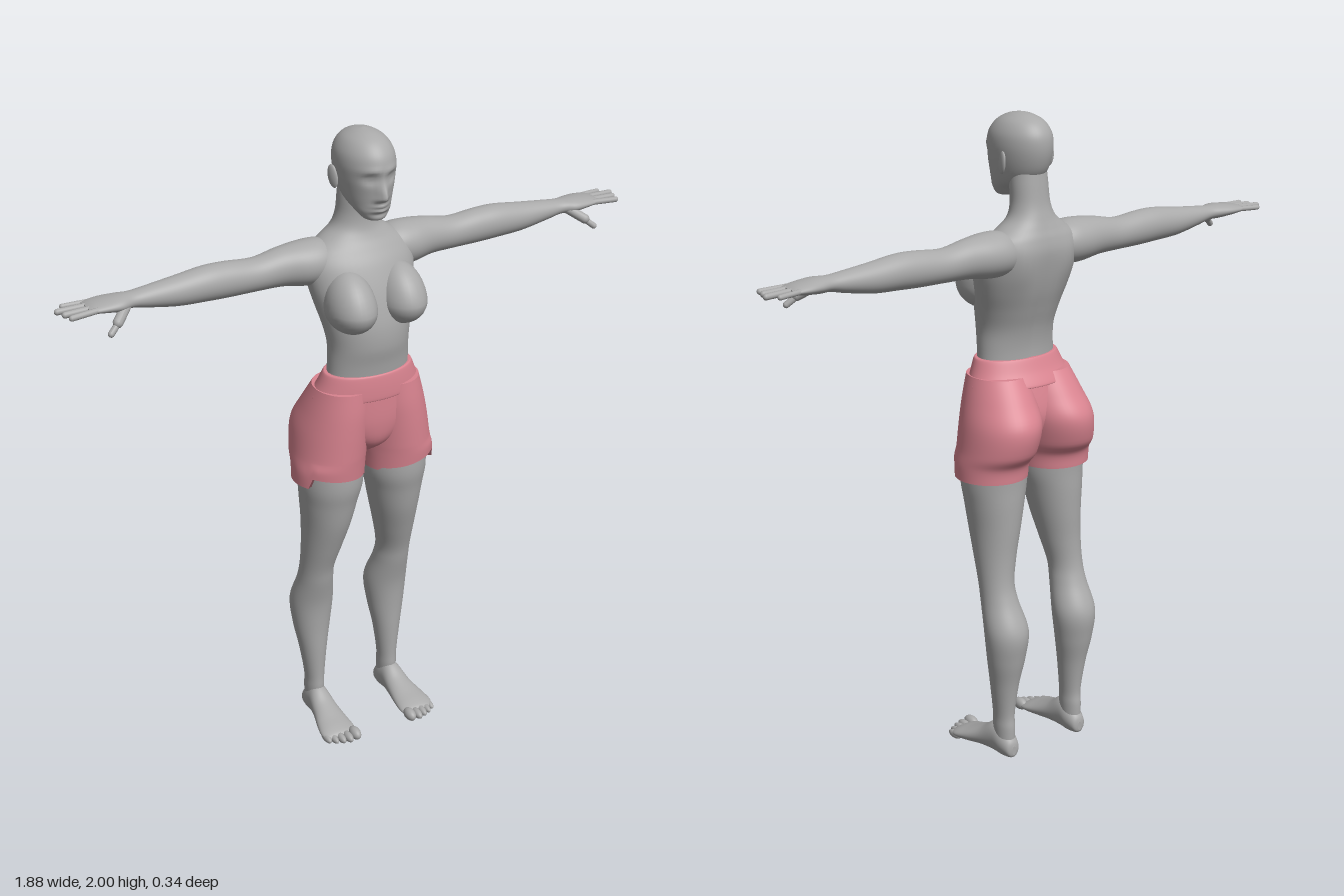
import * as THREE from 'three';

const skin = new THREE.MeshStandardMaterial({ color: 0xa9a9a9 });
skin.name = 'grey skin';
const cloth = new THREE.MeshStandardMaterial({ color: 0xd98490 });
cloth.name = 'pink cloth';

const SEG = 48, STEPS = 6;

// Smooth curve through the cross-section rows
function spline(rows, i, t) {
  const at = (k) => rows[Math.min(rows.length - 1, Math.max(0, k))];
  const [a, b, c, d] = [at(i - 1), at(i), at(i + 1), at(i + 2)];
  return b.map((v, k) => v + 0.5 * t * (c[k] - a[k] +
    t * (2 * a[k] - 5 * v + 4 * c[k] - d[k] + t * (3 * (v - c[k]) + d[k] - a[k]))));
}

// Loft of oval rings; row = [along, centreU, radiusU, vMax, vMin], along ascending.
// axes names the world axes of along, u and v.
function loft(rows, axes = 'yxz') {
  const rings = [];
  for (let i = 0; i < rows.length - 1; i++)
    for (let s = 0; s < STEPS; s++) rings.push(spline(rows, i, s / STEPS));
  rings.push(rows[rows.length - 1]);
  const pos = [], index = [], slot = [...axes].map((c) => 'xyz'.indexOf(c));
  const put = (a, u, v) => {
    const p = [0, 0, 0];
    [a, u, v].forEach((val, k) => { p[slot[k]] = val; });
    pos.push(...p);
  };
  const ring = ([a, cu, ru, v1, v0]) => {
    for (let i = 0; i < SEG; i++) {
      const th = (i / SEG) * Math.PI * 2;
      put(a, cu + ru * Math.cos(th), (v1 + v0) / 2 + ((v1 - v0) / 2) * Math.sin(th));
    }
  };
  const flip = axes !== 'yxz';
  const tri = (a, b, c) => (flip ? index.push(a, c, b) : index.push(a, b, c));
  rings.forEach(ring);
  for (let j = 0; j < rings.length - 1; j++)
    for (let i = 0; i < SEG; i++) {
      const a = j * SEG + i, c = j * SEG + ((i + 1) % SEG);
      tri(a, a + SEG, c);
      tri(c, a + SEG, c + SEG);
    }
  // end caps with their own vertices
  [rings[0], rings[rings.length - 1]].forEach((r, end) => {
    const base = pos.length / 3;
    ring(r);
    put(r[0], r[1], (r[3] + r[4]) / 2);
    for (let i = 0; i < SEG; i++) {
      const a = base + i, b = base + ((i + 1) % SEG);
      if (end) tri(a, base + SEG, b); else tri(a, b, base + SEG);
    }
  });
  const g = new THREE.BufferGeometry();
  g.setAttribute('position', new THREE.Float32BufferAttribute(pos, 3));
  g.setIndex(index);
  g.computeVertexNormals();
  return g;
}

// Move every vertex by a rule
function warp(g, rule) {
  const p = g.attributes.position, v = new THREE.Vector3();
  for (let i = 0; i < p.count; i++) {
    rule(v.fromBufferAttribute(p, i));
    p.setXYZ(i, v.x, v.y, v.z);
  }
  g.computeVertexNormals();
  return g;
}
const bell = (d, s) => Math.exp(-(d * d) / (s * s));

function mirror(g) {
  const m = g.clone().scale(-1, 1, 1), ix = m.index.array;
  for (let i = 0; i < ix.length; i += 3) [ix[i], ix[i + 1]] = [ix[i + 1], ix[i]];
  m.computeVertexNormals();
  return m;
}

// Rounded rod between two points
function rod(a, b, r) {
  const p = new THREE.Vector3(...a), q = new THREE.Vector3(...b), d = q.clone().sub(p);
  const g = new THREE.CapsuleGeometry(r, d.length(), 6, 14);
  g.applyQuaternion(new THREE.Quaternion().setFromUnitVectors(new THREE.Vector3(0, 1, 0), d.normalize()));
  return g.translate(...p.add(q).multiplyScalar(0.5).toArray());
}
const ball = (c, r) => new THREE.SphereGeometry(1, 32, 20).scale(...r).translate(...c);

export function createModel() {
  const model = new THREE.Group();
  model.name = 'figure';
  const add = (name, g, mat = skin) => {
    const m = new THREE.Mesh(g, mat);
    m.name = name;
    model.add(m);
  };
  const pair = (name, g, mat) => {
    add('left ' + name, g, mat);
    add('right ' + name, mirror(g), mat);
  };

  // Torso and neck, with a groove down the spine
  add('torso', warp(loft([
    [1.23, 0, 0.134, 0.108, -0.055], [1.30, 0, 0.130, 0.118, -0.057], [1.36, 0, 0.129, 0.130, -0.068],
    [1.42, 0, 0.140, 0.130, -0.088], [1.48, 0, 0.156, 0.118, -0.108], [1.54, 0, 0.170, 0.100, -0.122],
    [1.60, 0, 0.176, 0.075, -0.130], [1.64, 0, 0.158, 0.050, -0.125], [1.67, 0, 0.115, 0.030, -0.115],
    [1.70, 0, 0.078, 0.018, -0.105], [1.74, 0, 0.063, 0.015, -0.094], [1.80, 0, 0.060, 0.020, -0.086],
    [1.85, 0, 0.056, 0.020, -0.080]]), (v) => {
    if (v.z < -0.03) v.z += 0.009 * bell(v.x, 0.022) * bell(v.y - 1.42, 0.22);
    if (v.z < -0.03) v.z -= 0.008 * bell(Math.abs(v.x) - 0.09, 0.04) * bell(v.y - 1.56, 0.07);
  }));

  // Breasts, stretched upward into the chest
  pair('breast', warp(ball([0, 0, 0], [0.074, 0.075, 0.096]), (v) => {
    if (v.y > 0) { v.z -= v.y * 0.3; v.y *= 1.45; }
    v.add(new THREE.Vector3(0.084, 1.487, 0.077));
  }));

  // Head with brow, eye sockets, nose, lips and chin
  add('head', warp(loft([
    [1.746, 0, 0.016, 0.088, 0.055], [1.753, 0, 0.034, 0.100, 0.030], [1.775, 0, 0.052, 0.106, 0.000],
    [1.80, 0, 0.065, 0.110, -0.055], [1.83, 0, 0.074, 0.114, -0.085], [1.87, 0, 0.082, 0.119, -0.102],
    [1.91, 0, 0.085, 0.121, -0.108], [1.945, 0, 0.079, 0.111, -0.102], [1.975, 0, 0.060, 0.084, -0.079],
    [1.993, 0, 0.031, 0.046, -0.042], [2.0, 0, 0.003, 0.004, -0.002]]), (v) => {
    if (v.z < 0.03) return;
    const ax = Math.abs(v.x), y = v.y;
    v.z += 0.028 * bell(v.x, 0.013) * bell(y - 1.824, y < 1.824 ? 0.012 : 0.035)
      + 0.007 * bell(ax - 0.014, 0.009) * bell(y - 1.817, 0.010)
      - 0.013 * bell(ax - 0.034, 0.018) * bell(y - 1.880, 0.015)
      + 0.006 * bell(ax - 0.034, 0.011) * bell(y - 1.880, 0.007)
      + 0.005 * bell(ax - 0.032, 0.028) * bell(y - 1.902, 0.011)
      + 0.009 * bell(v.x, 0.022) * (bell(y - 1.796, 0.006) + bell(y - 1.781, 0.006))
      - 0.004 * bell(v.x, 0.03) * bell(y - 1.769, 0.007);
  }));
  pair('ear', new THREE.SphereGeometry(1, 20, 14).scale(0.008, 0.035, 0.019)
    .rotateX(-0.2).rotateY(-0.3).translate(0.087, 1.862, -0.018));

  // Arms and palms
  pair('arm', loft([
    [0.06, 1.600, 0.045, 0.000, -0.095], [0.12, 1.604, 0.066, 0.026, -0.115], [0.18, 1.605, 0.067, 0.026, -0.115],
    [0.25, 1.606, 0.058, 0.008, -0.104], [0.33, 1.600, 0.050, 0.001, -0.096], [0.42, 1.604, 0.053, 0.002, -0.095],
    [0.49, 1.606, 0.052, 0.003, -0.094], [0.58, 1.603, 0.044, -0.002, -0.088], [0.67, 1.606, 0.031, -0.008, -0.078],
    [0.72, 1.609, 0.023, -0.009, -0.074], [0.76, 1.610, 0.023, 0.006, -0.083], [0.80, 1.611, 0.019, 0.006, -0.091],
    [0.835, 1.611, 0.014, 0.001, -0.090], [0.855, 1.611, 0.007, -0.006, -0.085]], 'xyz'));

  // Fingers and thumb
  [[0.888, -0.010, 0.000, 0.0088], [0.920, -0.032, -0.030, 0.0092],
    [0.931, -0.056, -0.060, 0.0090], [0.905, -0.079, -0.089, 0.0078]].forEach(([tip, z0, z1, r], i) => {
    const x = tip + (i === 0 ? 0.024 : 0);
    pair('finger ' + (i + 1), rod([0.82, 1.612, z0], [x, 1.609, z1], r));
  });
  pair('thumb base', rod([0.745, 1.602, -0.018], [0.785, 1.574, 0.016], 0.015));
  pair('thumb tip', rod([0.78, 1.576, 0.013], [0.812, 1.550, 0.028], 0.0095));

  // Legs
  pair('leg', loft([
    [0.04, 0.136, 0.028, -0.050, -0.120], [0.10, 0.136, 0.030, -0.040, -0.121], [0.15, 0.136, 0.031, -0.040, -0.118],
    [0.25, 0.137, 0.044, -0.036, -0.132], [0.34, 0.137, 0.060, -0.033, -0.152], [0.43, 0.136, 0.069, -0.024, -0.161],
    [0.52, 0.138, 0.057, -0.002, -0.122], [0.58, 0.138, 0.054, 0.012, -0.105], [0.66, 0.130, 0.063, 0.040, -0.101],
    [0.75, 0.121, 0.076, 0.070, -0.105], [0.83, 0.116, 0.089, 0.088, -0.108], [0.90, 0.112, 0.100, 0.102, -0.109],
    [1.00, 0.110, 0.101, 0.102, -0.115]]));

  // Feet and toes
  pair('foot', loft([
    [-0.130, 0.136, 0.008, 0.045, 0.015], [-0.122, 0.136, 0.024, 0.065, 0.006], [-0.09, 0.136, 0.034, 0.095, 0.002],
    [-0.05, 0.137, 0.036, 0.110, 0.004], [0.00, 0.139, 0.043, 0.080, 0.006], [0.05, 0.143, 0.053, 0.058, 0.004],
    [0.09, 0.145, 0.058, 0.044, 0.004], [0.113, 0.143, 0.052, 0.034, 0.008], [0.122, 0.140, 0.040, 0.026, 0.012]], 'zxy'));
  [[0.103, 0.130, 0.017], [0.129, 0.131, 0.013], [0.151, 0.124, 0.012], [0.172, 0.114, 0.011], [0.191, 0.101, 0.011]]
    .forEach(([x, z, r], i) => pair('toe ' + (i + 1), ball([x, r + 0.006, z], [r, r * 1.15, 0.029])));

  // Shorts legs: the front hem is cut higher than the side and back
  pair('shorts leg', warp(loft([
    [0.90, 0.121, 0.112, 0.108, -0.115], [0.95, 0.119, 0.113, 0.112, -0.122], [1.00, 0.112, 0.114, 0.115, -0.154],
    [1.08, 0.101, 0.113, 0.119, -0.167], [1.15, 0.091, 0.102, 0.120, -0.128], [1.22, 0.083, 0.086, 0.116, -0.082]]),
  (v) => {
    if (v.y >= 1) return;
    const hem = v.z > 0.06 ? 0.918 + 0.14 * Math.max(0, v.x) : 0.912;
    v.y = hem + (v.y - 0.9) * (1 - hem) / 0.1;
  }), cloth);

  // Centre of the shorts and the waistband
  add('shorts centre', loft([
    [0.985, 0, 0.020, 0.040, -0.050], [1.03, 0, 0.085, 0.095, -0.085], [1.10, 0, 0.160, 0.114, -0.105],
    [1.20, 0, 0.170, 0.117, -0.085]]), cloth);
  add('waistband', loft([
    [1.188, 0, 0.174, 0.117, -0.092], [1.192, 0, 0.179, 0.122, -0.100], [1.23, 0, 0.161, 0.122, -0.079],
    [1.264, 0, 0.146, 0.119, -0.064], [1.270, 0, 0.140, 0.115, -0.060]]), cloth);

  return model;
}
